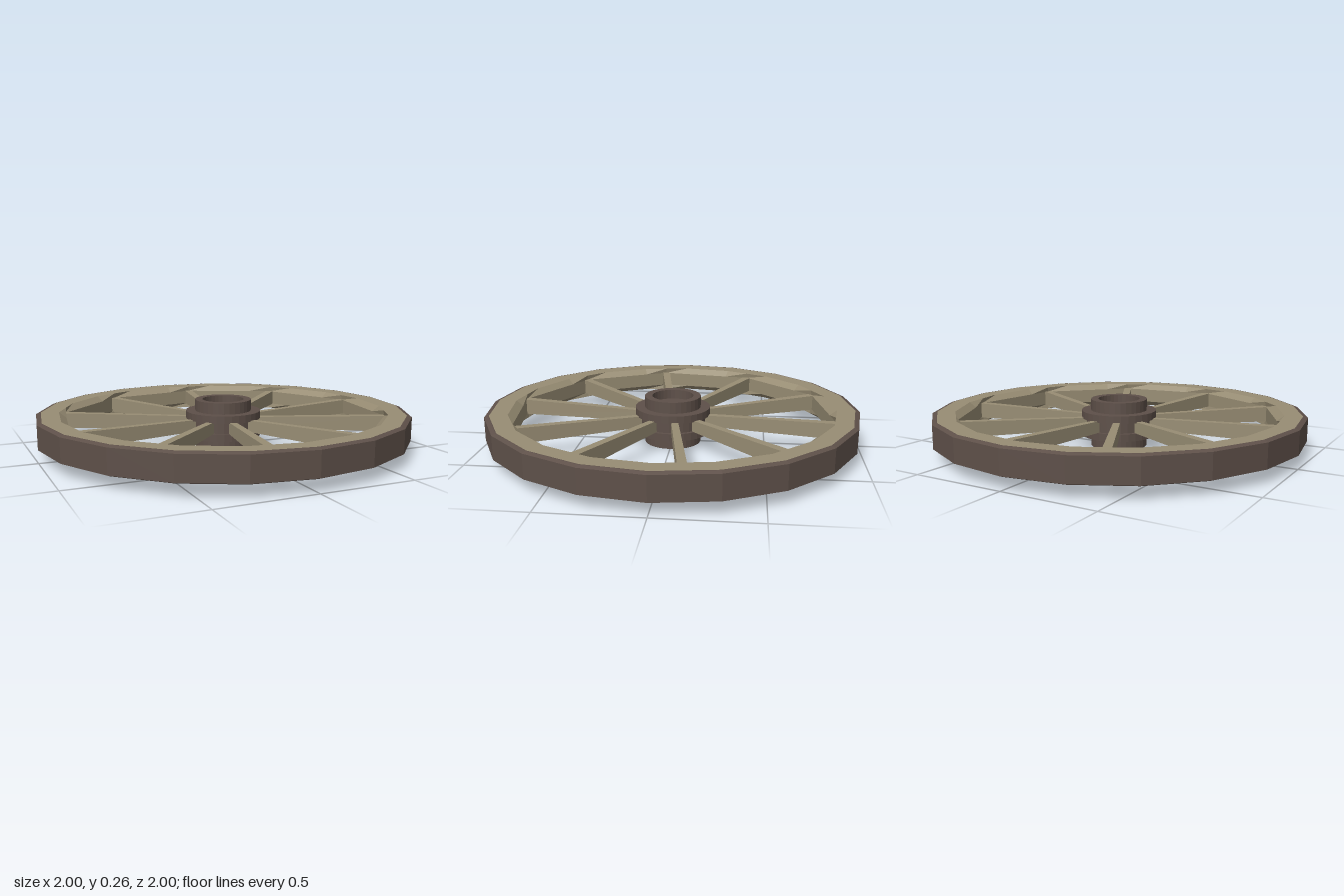
import * as THREE from 'three';

const wood = new THREE.MeshStandardMaterial({ color: 0x988d74, flatShading: true });
const dark = new THREE.MeshStandardMaterial({ color: 0x5e5049, flatShading: true });

const MID = 0.13; // height of the wheel's middle plane
const SPOKES = 10;
const FIRST = Math.PI / 20; // angle of the first spoke

// Distance from the centre to the edge of a regular polygon at angle a
function polygon(sides, radius, start = 0) {
  const step = (2 * Math.PI) / sides;
  return (a) => {
    const t = (((a - start) % step) + step) % step;
    return (radius * Math.cos(step / 2)) / Math.cos(t - step / 2);
  };
}

// Closed ring whose cross-section corners are [radius rule, y]
function ringGeometry(rows, segments) {
  const pos = [], index = [];
  rows.forEach(([radius, y]) => {
    for (let i = 0; i < segments; i++) {
      const a = (i / segments) * Math.PI * 2;
      pos.push(radius(a) * Math.cos(a), y, radius(a) * Math.sin(a));
    }
  });
  for (let r = 0; r < rows.length; r++) {
    const next = (r + 1) % rows.length;
    for (let i = 0; i < segments; i++) {
      const j = (i + 1) % segments;
      const a = r * segments + i, b = next * segments + i;
      const c = r * segments + j, d = next * segments + j;
      index.push(a, b, c, b, d, c);
    }
  }
  const indexed = new THREE.BufferGeometry();
  indexed.setAttribute('position', new THREE.Float32BufferAttribute(pos, 3));
  indexed.setIndex(index);
  const geo = indexed.toNonIndexed();
  geo.computeVertexNormals();
  return geo;
}

function lathe(points, segments) {
  return new THREE.LatheGeometry(points.map(([x, y]) => new THREE.Vector2(x, y)), segments);
}

// Spoke along +x, thicker towards the rim
function spokeGeometry(inner, outer) {
  const geo = new THREE.BoxGeometry(outer - inner, 1, 1);
  geo.translate((inner + outer) / 2, 0, 0);
  const p = geo.attributes.position;
  for (let i = 0; i < p.count; i++) {
    const t = (p.getX(i) - inner) / (outer - inner);
    p.setY(i, p.getY(i) * (0.06 + 0.025 * t));
    p.setZ(i, p.getZ(i) * (0.036 + 0.01 * t));
  }
  geo.computeVertexNormals();
  return geo;
}

export function createModel() {
  const wheel = new THREE.Group();
  wheel.name = 'wagonWheel';
  const add = (name, geo, mat) => {
    const mesh = new THREE.Mesh(geo, mat);
    mesh.name = name;
    wheel.add(mesh);
    return mesh;
  };

  // Tyre: thin twenty-sided band with chamfered edges
  add('tyre', lathe([
    [0.975, 0.06], [0.98, 0.06], [1, 0.068], [1, 0.192], [0.98, 0.2], [0.975, 0.2],
  ], 20), dark);

  // Wooden rim: twenty-sided edges, ten flat inner panels between the spokes
  const outer = polygon(20, 0.98);
  const lip = polygon(20, 0.88);
  const panel = polygon(SPOKES, 0.875, -FIRST);
  add('rim', ringGeometry([
    [outer, 0.199], [lip, 0.199], [panel, 0.17], [panel, 0.09], [lip, 0.061], [outer, 0.061],
  ], 40), wood);

  // Spokes
  const spoke = spokeGeometry(0.15, 0.89);
  for (let i = 0; i < SPOKES; i++) {
    const mesh = add('spoke', spoke, wood);
    mesh.position.y = MID;
    mesh.rotation.y = FIRST + (i * 2 * Math.PI) / SPOKES;
  }

  // Hub: lower half profile mirrored upward, with a recess in each end
  const lower = [
    [0, 0.05], [0.112, 0.05], [0.112, 0], [0.152, 0], [0.152, 0.06],
    [0.203, 0.06], [0.203, 0.1], [0.185, 0.1],
  ];
  const upper = lower.map(([x, y]) => [x, 0.256 - y]).reverse();
  add('hub', lathe([...lower, ...upper], 32), dark);

  return wheel;
}
